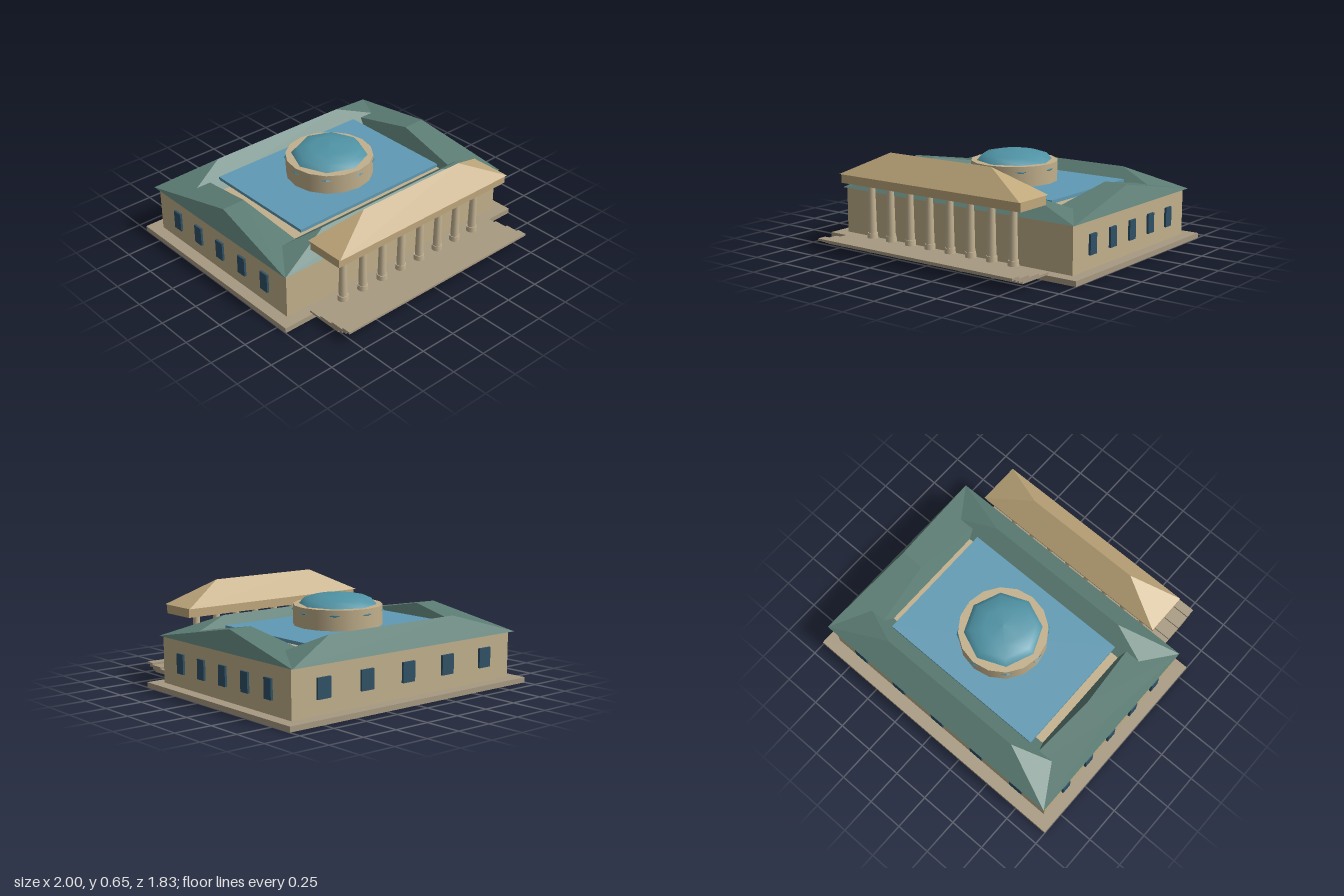
import * as THREE from 'three';

const mat = (color, extra = {}) => {
  const m = new THREE.MeshStandardMaterial(extra);
  m.color.setHex(color);
  return m;
};

const M = {
  wall: mat(0xc2b08c),
  stone: mat(0xa89a82),
  column: mat(0xc4b494),
  portico: mat(0xc0a87c),
  roof: mat(0x5c7d74, { flatShading: true }),
  porticoRoof: mat(0xc0a87c, { flatShading: true }),
  terrace: mat(0x5f9ab4),
  dome: mat(0x4f93a5),
  glass: mat(0x2f5166),
  gem: mat(0x3a8096, { flatShading: true }),
};

const CZ = -0.165; // z of the main hall's centre

// Box given by its extents on each axis
function box(name, material, [x0, x1], [y0, y1], [z0, z1]) {
  const mesh = new THREE.Mesh(new THREE.BoxGeometry(x1 - x0, y1 - y0, z1 - z0), material);
  mesh.position.set((x0 + x1) / 2, (y0 + y1) / 2, (z0 + z1) / 2);
  mesh.name = name;
  return mesh;
}

// Hip roof with its ridge along x, inset at both ends by a share of the width
function hipRoof(name, material, [x0, x1], [y0, y1], [z0, z1]) {
  const inset = (x1 - x0) * 0.22;
  const zm = (z0 + z1) / 2;
  const geo = new THREE.BufferGeometry();
  geo.setAttribute('position', new THREE.Float32BufferAttribute([
    x0, y0, z1, x1, y0, z1, x1, y0, z0, x0, y0, z0,
    x0 + inset, y1, zm, x1 - inset, y1, zm,
  ], 3));
  geo.setIndex([
    0, 1, 5, 0, 5, 4, // front slope
    2, 3, 4, 2, 4, 5, // back slope
    1, 2, 5, 3, 0, 4, // hip ends
    0, 3, 2, 0, 2, 1, // underside
  ]);
  const flat = geo.toNonIndexed();
  flat.computeVertexNormals();
  const mesh = new THREE.Mesh(flat, material);
  mesh.name = name;
  return mesh;
}

function cylinder(name, material, rTop, rBottom, y0, y1, sides) {
  const mesh = new THREE.Mesh(new THREE.CylinderGeometry(rTop, rBottom, y1 - y0, sides), material);
  mesh.position.y = (y0 + y1) / 2;
  mesh.name = name;
  return mesh;
}

function makeColumn() {
  const g = new THREE.Group();
  g.name = 'column';
  g.add(
    cylinder('columnBase', M.column, 0.034, 0.036, 0.07, 0.105, 12),
    cylinder('columnShaft', M.column, 0.022, 0.029, 0.105, 0.422, 12),
    cylinder('columnCapital', M.column, 0.031, 0.029, 0.422, 0.44, 12),
  );
  return g;
}

export function createModel() {
  const model = new THREE.Group();
  model.name = 'domedHall';

  // Plinth and main hall
  model.add(
    box('plinth', M.stone, [-1, 1], [0, 0.035], [-0.912, 0.578]),
    box('hallWalls', M.wall, [-0.92, 0.92], [0.035, 0.345], [-0.825, 0.495]),
  );

  // Thin steps, each one narrower and shifted forward
  for (let i = 0; i < 4; i++) {
    const y = 0.034 + i * 0.014;
    model.add(box('step', M.stone, [-0.785, 0.785], [y, y + 0.014],
      [0.55 + i * 0.1, 0.815 + i * 0.033]));
  }

  // Four hip roofs around the terrace
  model.add(
    hipRoof('frontRoof', M.roof, [-0.94, 0.94], [0.345, 0.455], [0.23, 0.515]),
    hipRoof('backRoof', M.roof, [-0.94, 0.94], [0.345, 0.475], [-0.86, -0.53]),
    hipRoof('leftRoof', M.roof, [0.65, 0.94], [0.345, 0.475], [-0.86, 0.515]),
    hipRoof('rightRoof', M.roof, [-0.94, -0.65], [0.345, 0.475], [-0.86, 0.515]),
    box('terrace', M.terrace, [-0.6, 0.6], [0.388, 0.41], [-0.592, 0.255]),
  );

  // Drum, dome and lens-shaped drum windows
  const rotunda = new THREE.Group();
  rotunda.name = 'rotunda';
  rotunda.position.z = CZ;
  const domeProfile = [[0.255, 0.543], [0.217, 0.585], [0.125, 0.605], [0, 0.615]]
    .map(([r, y]) => new THREE.Vector2(r, y));
  const dome = new THREE.Mesh(new THREE.LatheGeometry(domeProfile, 8), M.dome);
  dome.name = 'dome';
  rotunda.add(cylinder('drum', M.wall, 0.293, 0.293, 0.4, 0.543, 16), dome);
  for (let i = 0; i < 8; i++) {
    const a = (i * Math.PI) / 4;
    const lens = new THREE.Mesh(new THREE.OctahedronGeometry(1), M.gem);
    lens.scale.set(0.04, 0.008, 0.013);
    lens.position.set(Math.sin(a) * 0.29, 0.506, Math.cos(a) * 0.29);
    lens.rotation.y = a;
    lens.name = 'drumWindow';
    rotunda.add(lens);
  }
  model.add(rotunda);

  // Five windows on each side wall and on the back wall
  for (let i = -2; i <= 2; i++) {
    const z = CZ + i * 0.227;
    for (const s of [-1, 1]) {
      model.add(box('sideWindow', M.glass,
        [s * 0.925 - 0.01, s * 0.925 + 0.01], [0.127, 0.257], [z - 0.035, z + 0.035]));
    }
    const x = i * 0.342;
    model.add(box('backWindow', M.glass, [x - 0.05, x + 0.05], [0.133, 0.263], [-0.841, -0.821]));
  }

  // Portico: eight columns, beam and hip roof
  const portico = new THREE.Group();
  portico.name = 'portico';
  for (let i = 0; i < 8; i++) {
    const column = makeColumn();
    column.position.set(-0.575 + i * 0.1643, 0, 0.62);
    portico.add(column);
  }
  portico.add(
    box('porticoBeam', M.portico, [-0.722, 0.722], [0.44, 0.5], [0.492, 0.75]),
    hipRoof('porticoRoof', M.porticoRoof, [-0.726, 0.726], [0.5, 0.655], [0.475, 0.764]),
  );
  model.add(portico);

  return model;
}
